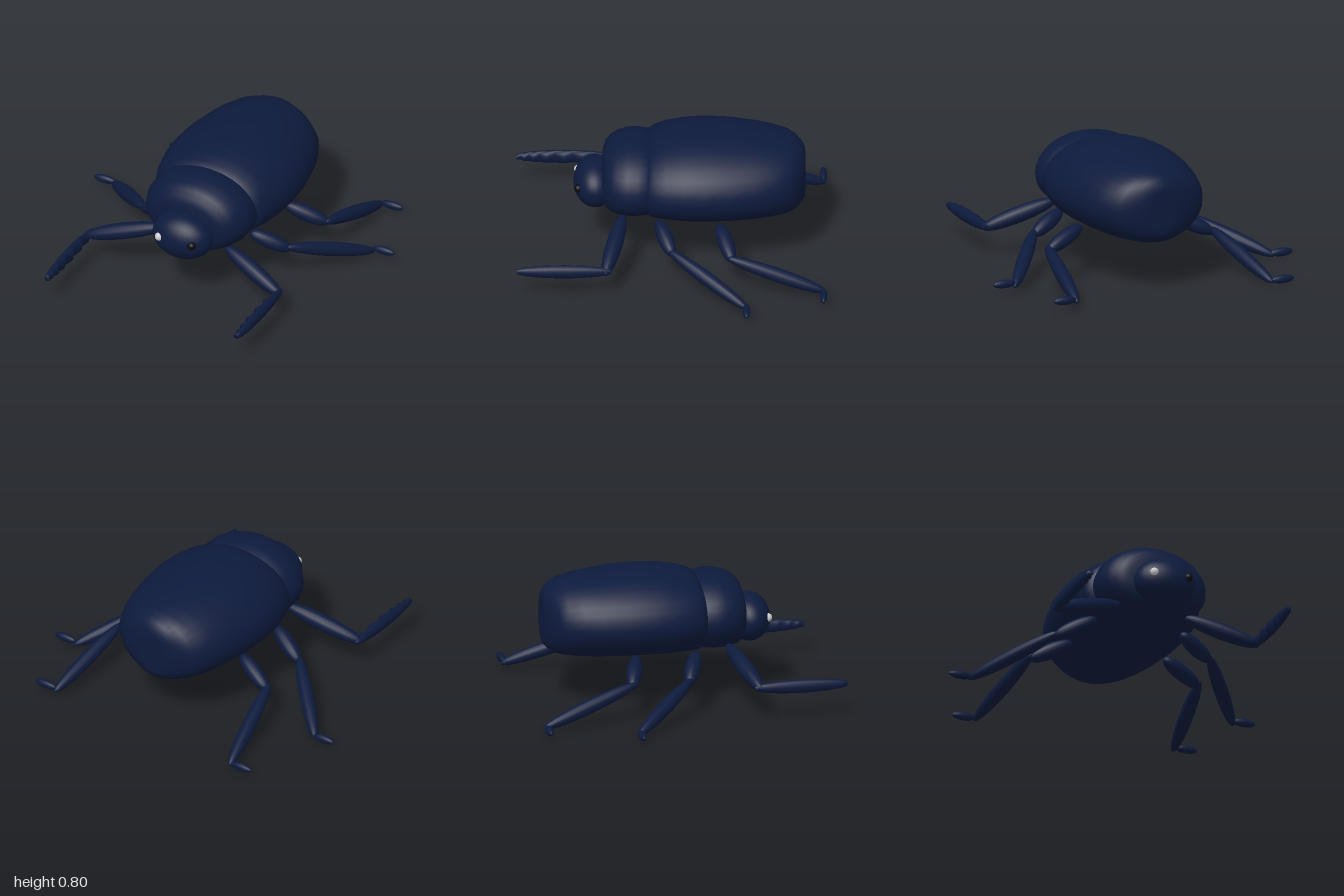
import * as THREE from 'three';

const shell = new THREE.MeshStandardMaterial({ color: 0x0d1a3c });
const dark = new THREE.MeshStandardMaterial({ color: 0x0a0a0a });
const pale = new THREE.MeshStandardMaterial({ color: 0xcccccc });
const MID = 0.043; // x of the body's centre line
const V = (x, y, z) => new THREE.Vector3(x, y, z);

// Closed skin over oval sections along +z: each row is
// [z, x, y, reach to -x, reach to +x, reach up, reach down]
function loft(rows, seg = 36) {
  const pos = [], idx = [];
  for (const [z, x, y, left, right, up, down] of rows) {
    for (let j = 0; j < seg; j++) {
      const c = Math.cos((j / seg) * Math.PI * 2), s = Math.sin((j / seg) * Math.PI * 2);
      pos.push(x + c * (c > 0 ? right : left), y + s * (s > 0 ? up : down), z);
    }
  }
  for (let i = 0; i < rows.length - 1; i++) {
    for (let j = 0; j < seg; j++) {
      const a = i * seg + j, b = i * seg + ((j + 1) % seg);
      idx.push(a, b, a + seg, b, b + seg, a + seg);
    }
  }
  // End caps
  const last = (rows.length - 1) * seg;
  for (let j = 1; j < seg - 1; j++) idx.push(0, j + 1, j, last, last + j, last + j + 1);
  const geo = new THREE.BufferGeometry();
  geo.setAttribute('position', new THREE.Float32BufferAttribute(pos, 3));
  geo.setIndex(idx);
  geo.computeVertexNormals();
  return geo;
}

function part(name, geo, material = shell) {
  const mesh = new THREE.Mesh(geo, material);
  mesh.name = name;
  return mesh;
}

// Body segment from rows [z, half width, top y, bottom y]
function segment(name, waist, rows) {
  return part(name, loft(rows.map(([z, w, top, bottom]) =>
    [z, MID, waist, w, w, top - waist, waist - bottom])));
}

// Spindle-shaped leg joint between two points
function spindle(name, from, to, radius) {
  const length = from.distanceTo(to), profile = [];
  for (let i = 0; i <= 16; i++) {
    const a = (i / 16) * Math.PI;
    profile.push(new THREE.Vector2(radius * Math.pow(Math.max(Math.sin(a), 0), 0.85), (-Math.cos(a) * length) / 2));
  }
  const mesh = part(name, new THREE.LatheGeometry(profile, 16));
  mesh.position.copy(from).add(to).multiplyScalar(0.5);
  mesh.quaternion.setFromUnitVectors(V(0, 1, 0), to.clone().sub(from).normalize());
  return mesh;
}

// Digging shin: smooth outside, row of teeth on the inner edge
function toothedShin(side, x, y) {
  const teeth = [0.36, 0.43, 0.53, 0.64, 0.745, 0.82, 0.875, 0.92];
  const rows = [];
  const add = (z, inner) => {
    const k = Math.sqrt(Math.max(0.12, 1 - ((z - 0.64) / 0.3) ** 2));
    const outer = 0.032 * k;
    inner *= 0.5 + 0.5 * k;
    rows.push([z, x, y, side > 0 ? inner : outer, side > 0 ? outer : inner, 0.042 * k, 0.042 * k]);
  };
  teeth.forEach((z, i) => {
    add(z, i === 0 ? 0.012 : 0.036);
    if (i < teeth.length - 1) add((z + teeth[i + 1]) / 2, 0.009);
  });
  return part('toothedShin', loft(rows, 16));
}

export function createModel() {
  const model = new THREE.Group();
  model.name = 'beetle';

  model.add(segment('abdomen', 0.51, [
    [-0.8, 0.08, 0.63, 0.37], [-0.795, 0.13, 0.67, 0.345], [-0.77, 0.2, 0.7, 0.32],
    [-0.74, 0.26, 0.72, 0.3], [-0.69, 0.312, 0.742, 0.288], [-0.6, 0.355, 0.762, 0.278],
    [-0.5, 0.385, 0.777, 0.272], [-0.35, 0.415, 0.792, 0.27], [-0.2, 0.425, 0.797, 0.27],
    [-0.08, 0.418, 0.79, 0.27], [0.03, 0.395, 0.772, 0.272], [0.1, 0.37, 0.75, 0.276],
    [0.14, 0.34, 0.725, 0.285], [0.19, 0.22, 0.65, 0.34],
  ]));
  model.add(segment('thorax', 0.5, [
    [0.07, 0.22, 0.66, 0.33], [0.1, 0.31, 0.71, 0.295], [0.14, 0.335, 0.735, 0.285],
    [0.2, 0.345, 0.745, 0.28], [0.26, 0.342, 0.742, 0.28], [0.32, 0.318, 0.727, 0.285],
    [0.36, 0.288, 0.705, 0.295], [0.39, 0.25, 0.672, 0.315], [0.405, 0.2, 0.63, 0.34],
    [0.413, 0.12, 0.57, 0.4],
  ]));

  const head = part('head', new THREE.SphereGeometry(1, 32, 24));
  head.scale.set(0.193, 0.145, 0.13);
  head.position.set(MID, 0.443, 0.453);
  model.add(head);

  for (const [name, x, material] of [['leftEye', 0.155, dark], ['rightEye', -0.064, pale]]) {
    const eye = part(name, new THREE.SphereGeometry(0.026, 16, 12), material);
    eye.position.set(x, 0.457, 0.553);
    model.add(eye);
  }

  // Front legs: thigh and toothed shin
  for (const [name, hip, knee, side, shinX, shinY] of [
    ['leftFrontLeg', V(0.24, 0.325, 0.285), V(0.675, 0.17, 0.395), 1, 0.655, 0.182],
    ['rightFrontLeg', V(-0.17, 0.335, 0.285), V(-0.65, 0.19, 0.395), -1, -0.63, 0.193],
  ]) {
    const leg = new THREE.Group();
    leg.name = name;
    leg.add(spindle('thigh', hip, knee, 0.05), toothedShin(side, shinX, shinY));
    model.add(leg);
  }

  // Middle and rear legs: thigh, shin and flat foot
  for (const [name, hip, knee, ankle, foot] of [
    ['leftMiddleLeg', V(0.3, 0.32, 0.08), V(0.525, 0.215, -0.01), V(0.855, 0.045, -0.455), V(0.92, 0.07, -0.448)],
    ['rightMiddleLeg', V(-0.24, 0.32, 0.08), V(-0.48, 0.2, -0.01), V(-0.875, 0.02, -0.4), V(-0.928, 0.035, -0.39)],
    ['leftRearLeg', V(0.34, 0.32, -0.285), V(0.595, 0.215, -0.365), V(0.66, 0.045, -0.925), V(0.735, 0.062, -0.908)],
    ['rightRearLeg', V(-0.25, 0.32, -0.285), V(-0.495, 0.2, -0.36), V(-0.62, 0.02, -0.925), V(-0.695, 0.027, -0.908)],
  ]) {
    const leg = new THREE.Group();
    leg.name = name;
    const shinTop = knee.clone().lerp(ankle, -0.05).add(V(0, 0.015, 0));
    const sole = part('foot', new THREE.SphereGeometry(1, 16, 12));
    sole.scale.set(0.074, 0.026, 0.022);
    sole.position.copy(foot);
    leg.add(spindle('thigh', hip, knee, 0.048), spindle('shin', shinTop, ankle, 0.043), sole);
    model.add(leg);
  }
  return model;
}
